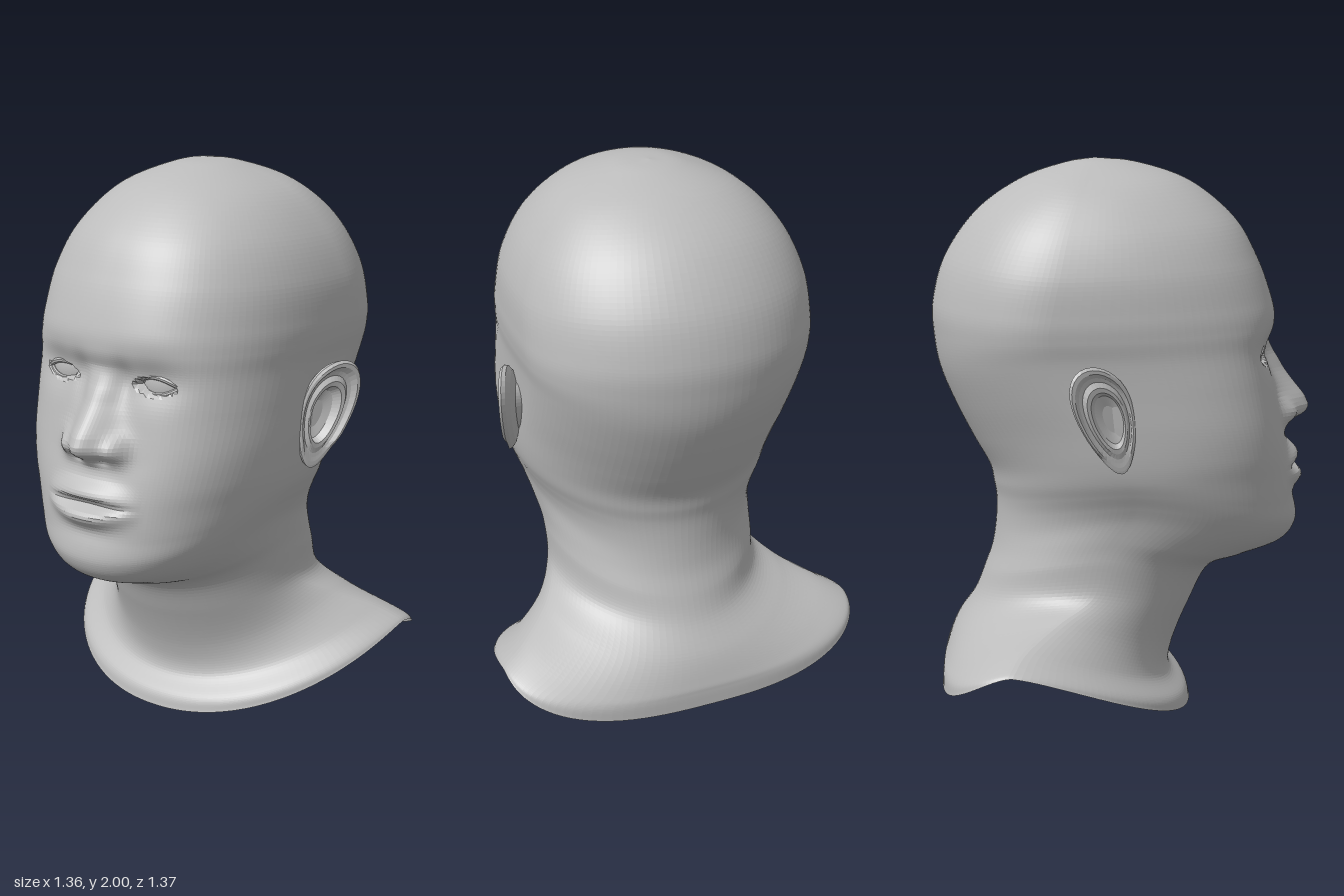
import * as THREE from 'three';

const skin = new THREE.MeshStandardMaterial({ color: 0xbcbcbc, flatShading: true, side: THREE.DoubleSide });
skin.name = 'plain grey';

// Each loop of the shell passes through a front, a side and a back point.
// Front and back rows: [roundness exponent, y, z]; side rows: [half width, y, z].
const FRONT = [
  [2, 2, -0.1], [2, 1.985, 0.05], [2.1, 1.92, 0.24], [2.3, 1.79, 0.4], [2.45, 1.645, 0.485],
  [2.6, 1.5, 0.537], [2.75, 1.42, 0.549], [2.95, 1.34, 0.545], [3.2, 1.22, 0.541], [3.1, 1.08, 0.565],
  [2.8, 0.98, 0.592], [2.45, 0.88, 0.618], [2.3, 0.77, 0.632], [2.2, 0.68, 0.638], [2.15, 0.61, 0.585],
  [2.1, 0.56, 0.45], [2, 0.515, 0.325], [2, 0.38, 0.25], [2, 0.22, 0.185], [2, 0.12, 0.175],
  [2.1, 0.05, 0.235], [2.1, 0, 0.25],
];
const SIDE = [
  [0, 2, -0.1], [0.13, 1.982, -0.1], [0.315, 1.9, -0.14], [0.435, 1.77, -0.18], [0.5, 1.62, -0.21],
  [0.515, 1.48, -0.24], [0.511, 1.4, -0.25], [0.497, 1.32, -0.23], [0.487, 1.2, -0.16], [0.481, 1.09, -0.08],
  [0.472, 0.98, -0.03], [0.46, 0.91, 0], [0.442, 0.86, 0.02], [0.42, 0.81, 0.03], [0.4, 0.755, 0.01],
  [0.388, 0.685, -0.04], [0.382, 0.61, -0.08], [0.387, 0.48, -0.12], [0.46, 0.408, -0.24], [0.58, 0.345, -0.35],
  [0.66, 0.303, -0.39], [0.68, 0.287, -0.4],
];
const BACK = [
  [2, 2, -0.1], [2, 1.985, -0.2], [2, 1.93, -0.36], [2, 1.82, -0.52], [2, 1.66, -0.637],
  [2, 1.5, -0.684], [2, 1.38, -0.683], [2, 1.26, -0.662], [2, 1.13, -0.61], [2, 1, -0.545],
  [2, 0.9, -0.49], [2, 0.83, -0.474], [2, 0.78, -0.466], [2, 0.72, -0.466], [2, 0.65, -0.472],
  [2, 0.58, -0.485], [2, 0.51, -0.51], [2, 0.41, -0.55], [2.2, 0.3, -0.62], [2.5, 0.21, -0.655],
  [2.7, 0.175, -0.662], [2.7, 0.12, -0.665],
];
const spline = rows => new THREE.CatmullRomCurve3(rows.map(r => new THREE.Vector3(...r)), false, 'catmullrom', 0.5);

// Eye placement and opening
const EYE = { x: 0.197, y: 1.31, z: 0.366, r: 0.12, half: 0.085, rise: 0.031 };

const bump = (x, y, cx, cy, sx, sy, amount) =>
  amount * Math.exp(-(((x - cx) / sx) ** 2) - ((y - cy) / sy) ** 2);

// Linear lookup in [y, value] pairs, highest y first
function lookup(table, y) {
  for (let i = 1; i < table.length; i++) {
    const [y0, v0] = table[i - 1], [y1, v1] = table[i];
    if (y <= y0 && y >= y1) return v0 + (v1 - v0) * (y0 - y) / (y0 - y1);
  }
  return 0;
}
const NOSE_HEIGHT = [[1.36, 0], [1.3, 0.018], [1.24, 0.05], [1.14, 0.115], [1.1, 0.125], [1.075, 0.108], [1.045, 0.045], [1.015, 0.012], [0.98, 0]];
const NOSE_WIDTH = [[1.36, 0.06], [1.24, 0.066], [1.13, 0.086], [0.98, 0.086]];

// Forward relief of the face: nose, lips, brow and eye sockets
function faceZ(px, y, z) {
  const x = Math.abs(px);
  // nose
  z += lookup(NOSE_HEIGHT, y) * Math.exp(-((x / (lookup(NOSE_WIDTH, y) || 1)) ** 2));
  z += bump(x, y, 0.105, 1.09, 0.036, 0.045, 0.036);
  z += bump(x, y, 0.05, 1.045, 0.024, 0.016, -0.01);
  z += bump(x, y, 0, 1.345, 0.1, 0.045, -0.015);
  // lips
  const span = Math.max(0, 1 - (x / 0.21) ** 2) ** 1.5, curl = (x / 0.2) ** 2;
  z += bump(0, y, 0, 0.933 - 0.03 * curl, 1, 0.042, 0.04 * span);
  z += bump(0, y, 0, 0.85 + 0.03 * curl, 1, 0.034, 0.038 * span);
  z += bump(0, y, 0, 0.893, 1, 0.015, -0.032 * span);
  z += bump(x, y, 0, 0.79, 0.14, 0.03, -0.006);
  // eye sockets
  z += bump(x, y, 0.2, 1.325, 0.115, 0.075, -0.034);
  z += bump(x, y, 0.09, 1.31, 0.04, 0.07, -0.02);
  // eyelids and eye opening
  const dx = x - EYE.x, dy = y - EYE.y, lid = (EYE.r + 0.007) ** 2 - dx * dx - dy * dy;
  if (lid > 0) z = Math.max(z, EYE.z + Math.sqrt(lid));
  const inside = 1 - (dx / EYE.half) ** 2 - Math.abs(dy) / EYE.rise;
  return z - 0.04 * THREE.MathUtils.clamp(inside / 0.4, 0, 1);
}

// One open shell from the crown down to the collar edge
function shellGeometry() {
  const front = spline(FRONT), side = spline(SIDE), back = spline(BACK);
  const rows = (FRONT.length - 1) * 10, half = 80, cols = half * 2;
  const pos = [], index = [];
  for (let i = 0; i <= rows; i++) {
    const f = front.getPoint(i / rows), s = side.getPoint(i / rows), b = back.getPoint(i / rows);
    for (let j = 0; j <= cols; j++) {
      const u = j / half - 1;
      const t = Math.sign(u) * Math.PI * (0.45 * Math.abs(u) + 0.55 * u * u);
      const c = Math.cos(t), sn = Math.sin(t), end = c >= 0 ? f : b;
      const r = (Math.abs(sn) ** end.x + Math.abs(c) ** end.x) ** (-1 / end.x);
      const depth = Math.abs(c) * r;
      const x = s.x * sn * r;
      const y = s.y + (end.y - s.y) * depth ** (c >= 0 ? 1.38 : 1.6);
      let z = s.z + (end.z - s.z) * depth;
      if (c > 0 && y > 0.66 && y < 1.65 && z > 0.25) z = faceZ(x, y, z);
      pos.push(x, y, z);
    }
  }
  const n = cols + 1;
  for (let i = 0; i < rows; i++) for (let j = 0; j < cols; j++) {
    const a = i * n + j, b = a + n;
    index.push(a, b, b + 1);
    if (i > 0) index.push(a, b + 1, a + 1);
  }
  const g = new THREE.BufferGeometry();
  g.setAttribute('position', new THREE.Float32BufferAttribute(pos, 3));
  g.setIndex(index);
  g.computeVertexNormals();
  return g;
}

// Ear: a turned dish with rim and inner fold, bent into a tapered, tilted oval
function earGeometry() {
  const profile = [
    [0.45, -0.1], [0.55, -0.035], [0.85, -0.022], [0.98, -0.006], [1, 0.008], [0.95, 0.018], [0.88, 0.018],
    [0.8, 0.004], [0.72, 0.0], [0.62, 0.012], [0.53, 0.01], [0.45, -0.016], [0.25, -0.026], [0, -0.026],
  ];
  const g = new THREE.LatheGeometry(profile.map(p => new THREE.Vector2(...p)), 40);
  const p = g.attributes.position;
  for (let i = 0; i < p.count; i++) {
    const v = p.getZ(i), w = p.getX(i), r = Math.hypot(v, w);
    // flat lobe below, low rim towards the face, bowl set forward
    const lobe = THREE.MathUtils.smoothstep(-v, 0.45, 0.75);
    let h = p.getY(i);
    if (h > -0.03) h += (0.004 - h) * lobe * (h > 0 || r < 0.8 ? 0.9 : 0);
    if (h > 0) h *= 1 - 0.6 * THREE.MathUtils.smoothstep(w, 0.3, 0.9);
    const y = 1.14 + 0.188 * v;
    const shift = w + 0.2 * Math.max(0, 1 - r);
    const z = -0.07 + 0.098 * shift * (1 + 0.33 * v) - 0.28 * (y - 1.14);
    p.setXYZ(i, 0.475 + 0.45 * (0.03 - z) + h, y, z);
  }
  g.computeVertexNormals();
  return g;
}

// Rim of one eyelid, lying on the eyeball
function lidGeometry(rise, radius) {
  const pts = [];
  for (let i = 0; i <= 10; i++) {
    const u = i / 5 - 1, dx = u * EYE.half, dy = rise * (1 - u * u);
    pts.push(new THREE.Vector3(EYE.x + dx, EYE.y + dy, EYE.z + Math.sqrt((EYE.r + 0.003) ** 2 - dx * dx - dy * dy)));
  }
  return new THREE.TubeGeometry(new THREE.CatmullRomCurve3(pts), 24, radius, 8);
}

function part(name, geometry, parent) {
  const m = new THREE.Mesh(geometry, skin);
  m.name = name;
  parent.add(m);
}

export function createModel() {
  const model = new THREE.Group();
  model.name = 'headBust';
  part('headAndNeck', shellGeometry(), model);

  // Paired parts, mirrored across x
  const ear = earGeometry(), upper = lidGeometry(EYE.rise, 0.01), lower = lidGeometry(-EYE.rise, 0.008);
  const eye = new THREE.SphereGeometry(EYE.r, 32, 12, 0, Math.PI * 2, 0, Math.PI * 0.28);
  eye.rotateX(Math.PI / 2).translate(EYE.x, EYE.y, EYE.z);
  for (const [name, sx] of [['left', 1], ['right', -1]]) {
    const pair = new THREE.Group();
    pair.name = name + 'Features';
    pair.scale.x = sx;
    part(name + 'Ear', ear, pair);
    part(name + 'Eyeball', eye, pair);
    part(name + 'UpperLid', upper, pair);
    part(name + 'LowerLid', lower, pair);
    model.add(pair);
  }
  return model;
}
